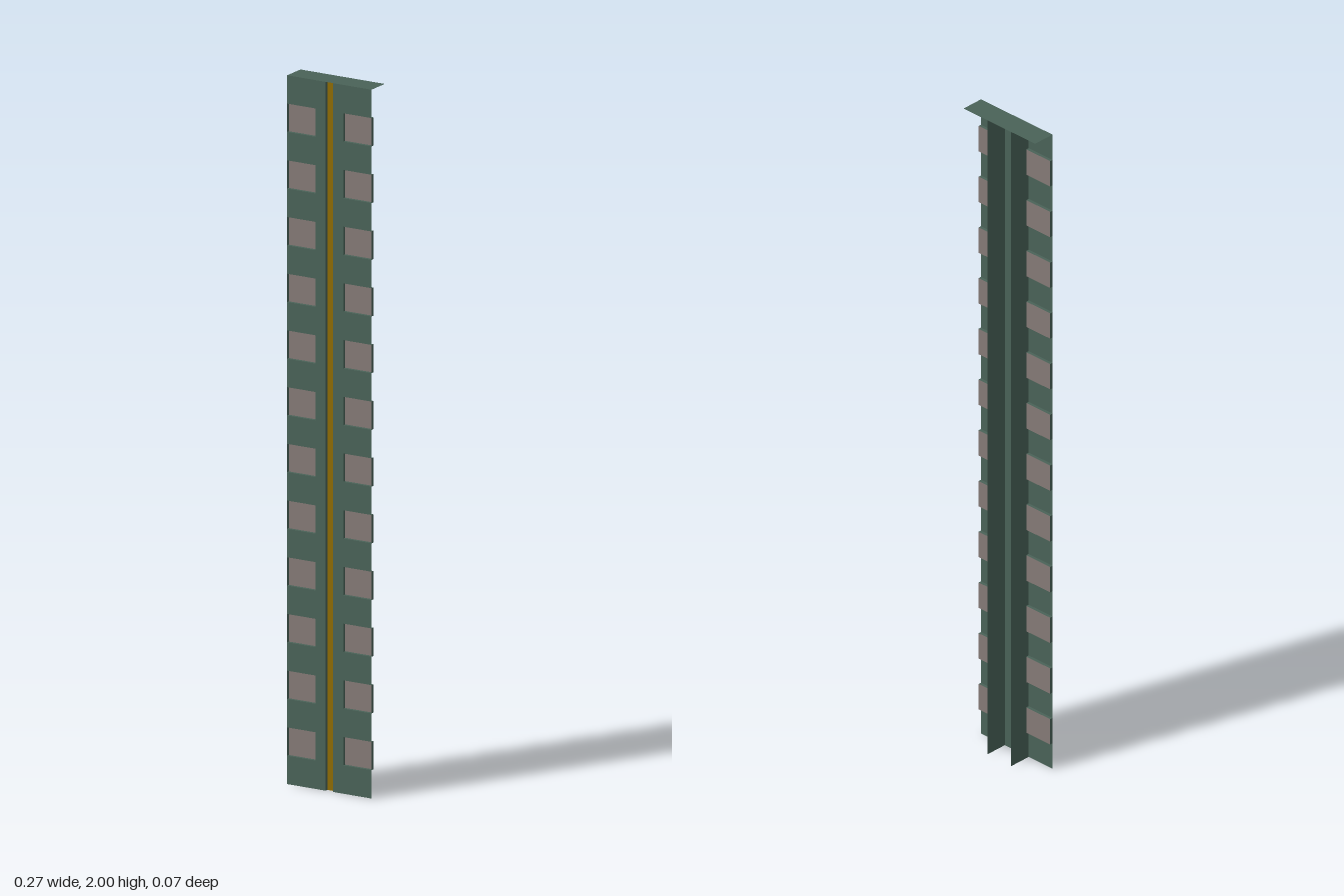
import * as THREE from 'three';

const W = 0.135;      // half width of the face
const D = 0.034;      // half depth
const H = 2;          // height
const IN = 0.045;     // inner edge of the panels, where the fins stand
const SLOT = 0.012;   // half width of the centre strip
const FLOOR = 0.025;  // depth position of recessed panels
const ROWS = 12, PITCH = 0.16, PANEL = 0.08;

const material = (color) => new THREE.MeshStandardMaterial({ color, side: THREE.DoubleSide });
const green = material(0x4a6358);
const grey = material(0x857a77);
const yellow = material(0x8f6c00);

// Flat sheet; facing picks the axis it looks along
function sheet(name, w, h, facing, x, y, z, mat, parent) {
  const geo = new THREE.PlaneGeometry(w, h);
  if (facing === 'x') geo.rotateY(Math.PI / 2);
  if (facing === 'y') geo.rotateX(-Math.PI / 2);
  const mesh = new THREE.Mesh(geo, mat);
  mesh.name = name;
  mesh.position.set(x, y, z);
  parent.add(mesh);
}

// Face sheet of one side, notched along its outer edge for the panels
function facePlate(side, parent) {
  const shape = new THREE.Shape();
  shape.moveTo(side * SLOT, 0);
  shape.lineTo(side * W, 0);
  for (let i = 0; i < ROWS; i++) {
    const y0 = 0.12 + i * PITCH - PANEL / 2, y1 = y0 + PANEL;
    shape.lineTo(side * W, y0);
    shape.lineTo(side * IN, y0);
    shape.lineTo(side * IN, y1);
    shape.lineTo(side * W, y1);
  }
  shape.lineTo(side * W, H);
  shape.lineTo(side * SLOT, H);
  const mesh = new THREE.Mesh(new THREE.ShapeGeometry(shape), green);
  mesh.name = 'facePlate';
  mesh.position.z = D;
  parent.add(mesh);
}

// Shallow tray with a grey floor
function recessedPanel(side, y, parent) {
  const tray = new THREE.Group();
  tray.name = 'recessedPanel';
  const w = W - IN, depth = D - FLOOR, zm = (D + FLOOR) / 2, xm = side * (W + IN) / 2;
  sheet('panelFloor', w, PANEL, 'z', xm, y, FLOOR, grey, tray);
  for (const s of [-1, 1]) {
    sheet('trayLedge', w, depth, 'y', xm, y + s * PANEL / 2, zm, green, tray);
    sheet('traySide', depth, PANEL, 'x', xm + s * w / 2, y, zm, green, tray);
  }
  parent.add(tray);
}

export function createModel() {
  const model = new THREE.Group();
  model.name = 'panelledStrip';

  for (const side of [-1, 1]) {
    const half = new THREE.Group();
    half.name = side > 0 ? 'leftHalf' : 'rightHalf';
    facePlate(side, half);
    for (let i = 0; i < ROWS; i++) recessedPanel(side, 0.12 + i * PITCH, half);
    // Rear fin and wall of the centre groove
    sheet('rearFin', 2 * D, H, 'x', side * IN, H / 2, 0, green, half);
    sheet('grooveWall', D - FLOOR, H, 'x', side * SLOT, H / 2, (D + FLOOR) / 2, green, half);
    model.add(half);
  }

  // Centre strip and top cap
  sheet('centreStrip', 2 * SLOT, H, 'z', 0, H / 2, FLOOR, yellow, model);
  sheet('topCap', 2 * W, 2 * D, 'y', 0, H, 0, green, model);
  return model;
}
